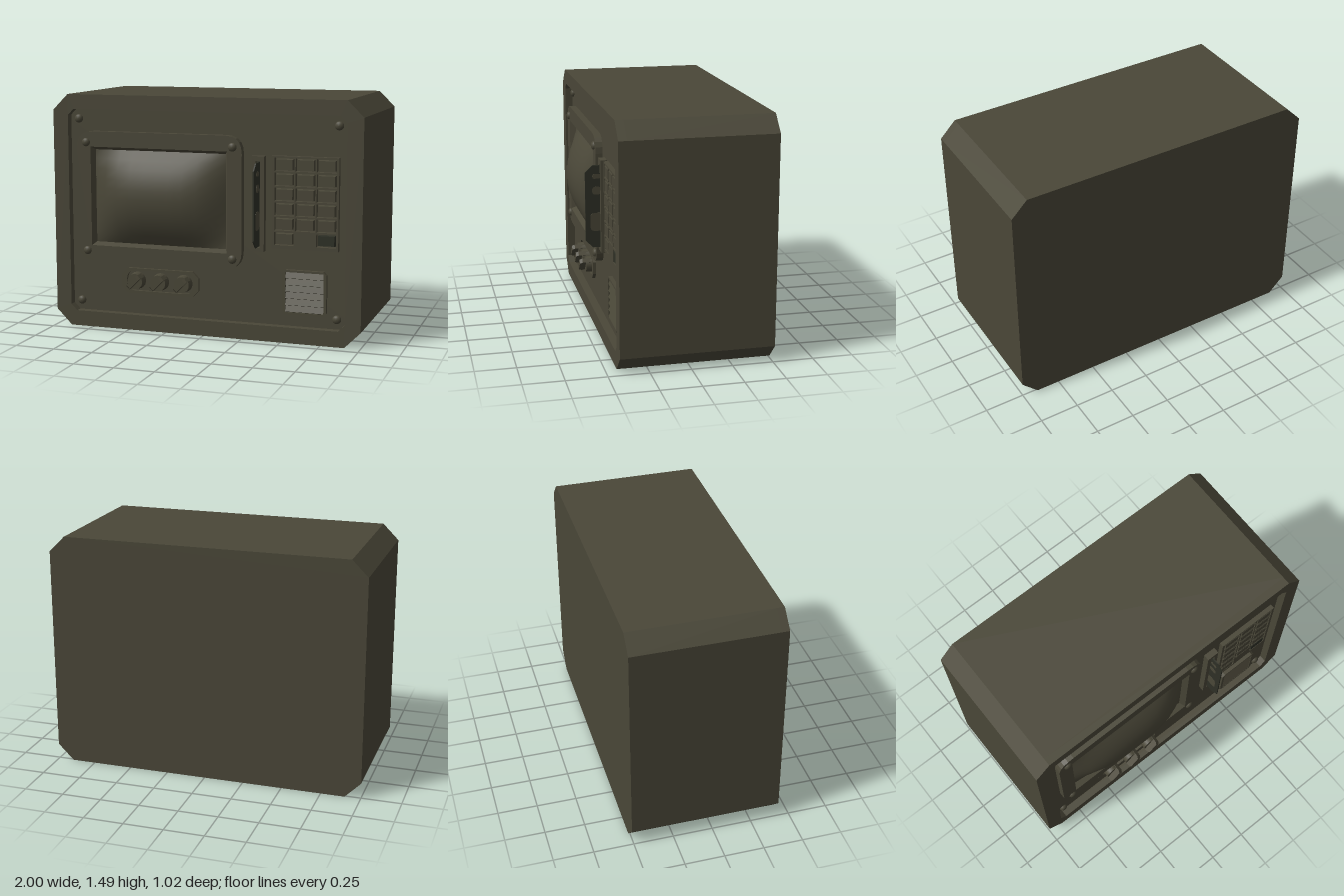
import * as THREE from 'three';

const housing = new THREE.MeshStandardMaterial({ color: 0x4a4738 });
housing.name = 'olive housing';
const dark = new THREE.MeshStandardMaterial({ color: 0x2e3026 });
dark.name = 'dark green';

// Rectangle outline (centre, size) with cut or rounded corners
function rect(Type, x, y, w, h, c = 0, round = false) {
  const s = new Type(), l = x - w / 2, r = x + w / 2, b = y - h / 2, t = y + h / 2;
  const corner = (cx, cy, ex, ey) => {
    if (c === 0) return;
    if (round) s.quadraticCurveTo(cx, cy, ex, ey);
    else s.lineTo(ex, ey);
  };
  s.moveTo(l + c, b);
  s.lineTo(r - c, b); corner(r, b, r, b + c);
  s.lineTo(r, t - c); corner(r, t, r - c, t);
  s.lineTo(l + c, t); corner(l, t, l, t - c);
  s.lineTo(l, b + c); corner(l, b, l + c, b);
  return s;
}

export function createModel() {
  const model = new THREE.Group();
  model.name = 'wallTerminal';
  const panelZ = 0.38;

  function add(name, geometry, material = housing, parent = model) {
    const mesh = new THREE.Mesh(geometry, material);
    mesh.name = name;
    parent.add(mesh);
    return mesh;
  }
  // Extrude an outline between two depths
  function slab(name, shape, z0, z1, holes = [], material = housing) {
    shape.holes.push(...holes);
    const g = new THREE.ExtrudeGeometry(shape, { depth: z1 - z0, bevelEnabled: false, curveSegments: 5 });
    return add(name, g.translate(0, 0, z0), material);
  }
  const S = THREE.Shape, P = THREE.Path;

  // Cabinet with a raised front rim
  slab('cabinet', rect(S, 0, 0.745, 2, 1.49, 0.1), -0.51, panelZ);
  slab('frontRim', rect(S, 0, 0.745, 2, 1.49, 0.1), panelZ, 0.43, [rect(P, 0, 0.748, 1.8, 1.3, 0.04)]);

  // Screen bezel
  const sx = -0.2975, sy = 0.847;
  slab('screenBezel', rect(S, sx, sy, 1.095, 0.825, 0.11, true), panelZ, 0.425,
    [rect(P, sx, sy, 0.905, 0.63)]);

  // Sloping inner edge of the bezel
  const ring = (w, h, z) => [[-1, -1], [1, -1], [1, 1], [-1, 1]].map(([i, j]) => [sx + i * w / 2, sy + j * h / 2, z]);
  const outer = ring(0.905, 0.63, 0.425), inner = ring(0.865, 0.59, 0.385);
  const pos = [];
  for (let i = 0; i < 4; i++) {
    const j = (i + 1) % 4;
    pos.push(...outer[i], ...outer[j], ...inner[j], ...outer[i], ...inner[j], ...inner[i]);
  }
  const slope = new THREE.BufferGeometry();
  slope.setAttribute('position', new THREE.Float32BufferAttribute(pos, 3));
  slope.computeVertexNormals();
  add('bezelSlope', slope);

  // Bulging screen
  const glass = new THREE.PlaneGeometry(0.87, 0.595, 10, 10);
  const p = glass.attributes.position;
  for (let i = 0; i < p.count; i++) {
    const u = Math.abs(p.getX(i) / 0.435), v = Math.abs(p.getY(i) / 0.2975);
    p.setZ(i, 0.386 + 0.114 * (1 - u ** 3.5) * (1 - v ** 2));
  }
  glass.computeVertexNormals();
  add('screen', glass).position.set(sx, sy, 0);

  // Domed bolts on the panel and bezel
  const boltProfile = [[0.027, 0], [0.027, 0.008], [0.02, 0.017], [0.009, 0.021], [0, 0.022]]
    .map(([r, h]) => new THREE.Vector2(r, h));
  const boltGeo = new THREE.LatheGeometry(boltProfile, 16).rotateX(Math.PI / 2);
  for (const x of [-0.845, 0.842]) for (const y of [0.16, 1.335])
    add('panelBolt', boltGeo).position.set(x, y, panelZ);
  for (const x of [-0.78, 0.19]) for (const y of [0.498, 1.19])
    add('bezelBolt', boltGeo).position.set(x, y, 0.42);

  // Knob plate with a shallow tray
  slab('knobPlate', rect(S, -0.297, 0.315, 0.515, 0.16, 0.04), panelZ, 0.4,
    [rect(P, -0.297, 0.315, 0.45, 0.13, 0.06, true)]);
  for (const x of [-0.455, -0.298, -0.141]) {
    const knob = new THREE.Group();
    knob.name = 'knob';
    knob.position.set(x, 0.315, panelZ);
    knob.rotation.z = Math.PI / 4;
    model.add(knob);
    const disc = new THREE.CylinderGeometry(0.05, 0.055, 0.055, 20).rotateX(Math.PI / 2);
    add('knobDisc', disc, housing, knob).position.z = 0.0275;
    const grip = new THREE.Shape([[-0.052, 0], [0.052, 0], [0.052, 0.078], [0.04, 0.095], [-0.04, 0.095], [-0.052, 0.078]]
      .map(([a, b]) => new THREE.Vector2(a, b)));
    const bar = new THREE.ExtrudeGeometry(grip, { depth: 0.03, bevelEnabled: false });
    add('knobGrip', bar.translate(0, 0, -0.015).rotateX(Math.PI / 2), housing, knob);
  }

  // Card slot
  slab('slotPlate', rect(S, 0.35, 0.848, 0.08, 0.585), panelZ, 0.42, [rect(P, 0.35, 0.845, 0.026, 0.53)]);
  slab('slotFloor', rect(S, 0.35, 0.845, 0.026, 0.53), panelZ, 0.385, [], dark);

  // Card standing in the slot, drawn in depth and height
  const sideways = (name, shape, thick, material) => {
    const g = new THREE.ExtrudeGeometry(shape, { depth: thick, bevelEnabled: false, curveSegments: 5 });
    add(name, g.translate(0, 0, -thick / 2).rotateY(-Math.PI / 2), material).position.x = 0.35;
  };
  sideways('card', new S([[0.385, 0.585], [0.465, 0.585], [0.51, 0.63], [0.51, 1.06], [0.465, 1.103], [0.385, 1.103]]
    .map(([a, b]) => new THREE.Vector2(a, b))), 0.008, dark);
  for (const [z, y, w, h, c] of [[0.44, 0.747, 0.08, 0.115, 0.03], [0.44, 0.945, 0.054, 0.05, 0.02], [0.44, 1.035, 0.05, 0.03, 0.012]])
    sideways('cardMark', rect(S, z, y, w, h, c, true), 0.011, housing);

  // Keypad: plate with wells and a key in each
  const wells = [];
  for (let row = 0; row < 6; row++) for (let col = 0; col < 3; col++) {
    if (row === 5 && col === 1) continue;
    const x = 0.514 + col * 0.131, y = 1.095 - row * 0.0906;
    wells.push(rect(P, x, y, 0.122, 0.08));
    const key = new THREE.CylinderGeometry(Math.SQRT1_2, Math.SQRT1_2 * 1.1, 1, 4, 1).toNonIndexed();
    key.rotateY(Math.PI / 4).rotateX(Math.PI / 2).scale(0.1, 0.06, 0.03);
    key.computeVertexNormals();
    add('key', key, row === 5 && col === 2 ? dark : housing).position.set(x, y, panelZ + 0.015);
  }
  slab('keypadPlate', rect(S, 0.643, 0.863, 0.415, 0.565), panelZ, 0.41, wells);

  // Vent with upward-facing louvres
  slab('ventFrame', rect(S, 0.643, 0.313, 0.275, 0.275, 0.02), panelZ, 0.405, [rect(P, 0.643, 0.313, 0.24, 0.25)]);
  for (let i = 0; i < 6; i++) {
    const louvre = add('louvre', new THREE.BoxGeometry(0.24, 0.041, 0.008));
    louvre.position.set(0.643, 0.417 - i * 0.0417, panelZ + 0.012);
    louvre.rotation.x = -0.45;
  }
  return model;
}
